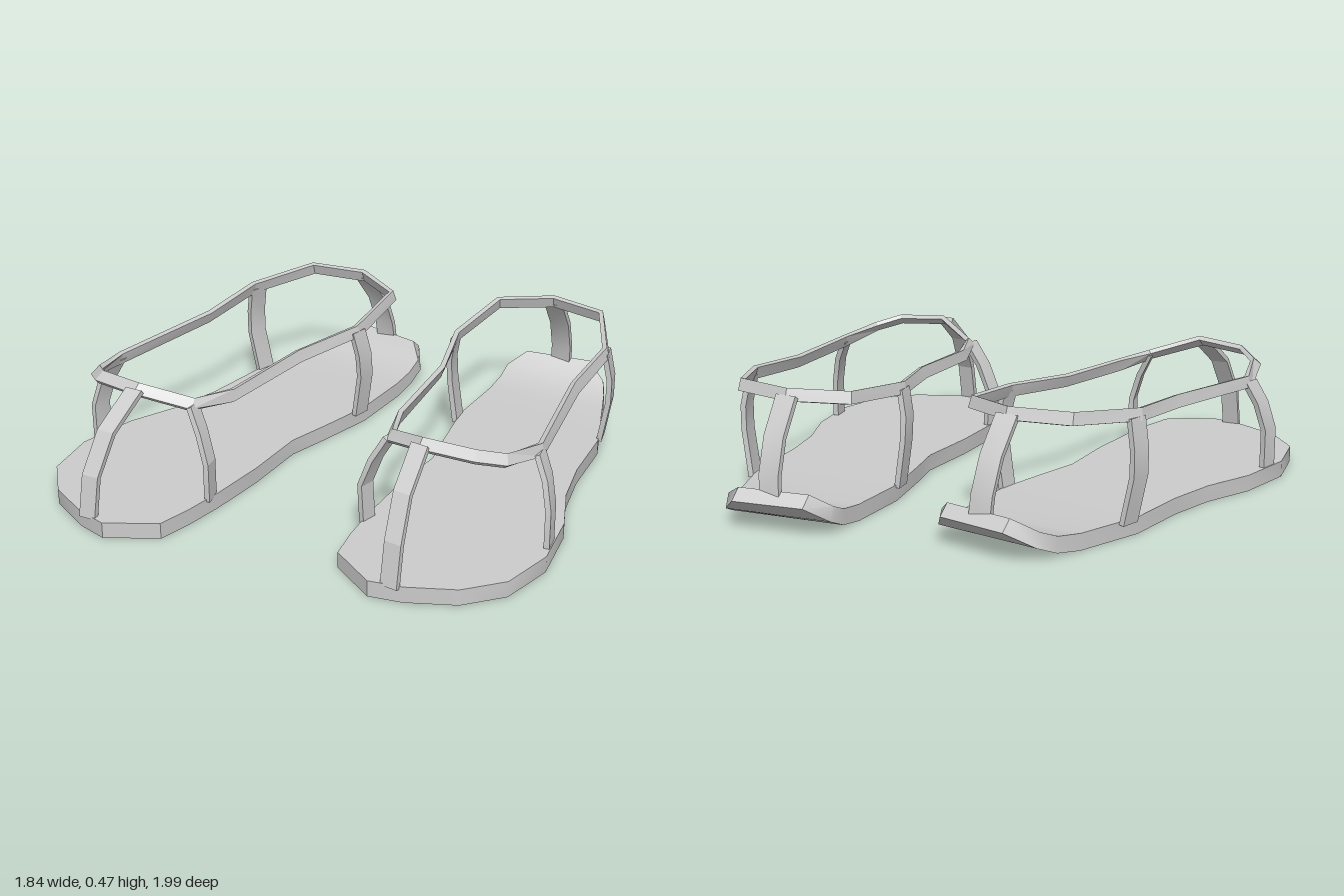
import * as THREE from 'three';
import { toCreasedNormals } from 'three/addons/utils/BufferGeometryUtils.js';

const V = (x, y, z) => new THREE.Vector3(x, y, z);

// Skin a row of four-cornered sections; side = -1 mirrors in x. Winding always ends up outward.
function loft(sections, closed, side, crease) {
  const tris = [], n = sections.length;
  const quad = (a, b, c, d) => tris.push([a, b, c], [a, c, d]);
  for (let i = 0; i < (closed ? n : n - 1); i++) {
    const s = sections[i], t = sections[(i + 1) % n];
    for (let k = 0; k < 4; k++) quad(s[k], s[(k + 1) % 4], t[(k + 1) % 4], t[k]);
  }
  if (!closed) {
    const s = sections[0], e = sections[n - 1];
    quad(s[3], s[2], s[1], s[0]);
    quad(e[0], e[1], e[2], e[3]);
  }
  let volume = 0;
  for (const [a, b, c] of tris) volume += a.dot(b.clone().cross(c));
  const flip = volume * side < 0, pos = [];
  for (const [a, b, c] of tris)
    for (const p of flip ? [a, c, b] : [a, b, c]) pos.push(p.x * side, p.y, p.z);
  const g = new THREE.BufferGeometry();
  g.setAttribute('position', new THREE.Float32BufferAttribute(pos, 3));
  return toCreasedNormals(g, crease);
}

// Flat strip along a path; axisAt gives the direction of its width.
function band(path, axisAt, width, thick, closed, side) {
  const n = path.length;
  const sections = path.map((p, i) => {
    const prev = path[closed ? (i + n - 1) % n : Math.max(i - 1, 0)];
    const next = path[closed ? (i + 1) % n : Math.min(i + 1, n - 1)];
    const axis = axisAt(p).normalize();
    const out = next.clone().sub(prev).cross(axis).normalize();
    return [[-1, -1], [1, -1], [1, 1], [-1, 1]].map(([a, b]) =>
      p.clone().addScaledVector(axis, a * width / 2).addScaledVector(out, b * thick / 2));
  });
  return loft(sections, closed, side, 0.3);
}

// Sole stations, toe to heel: inner x, z, outer x, z, lift of the turned-up heel
const SOLE = [
  [0.46, 0.99, 0.58, 0.97, 0], [0.29, 0.88, 0.75, 0.90, 0], [0.27, 0.75, 0.87, 0.78, 0],
  [0.26, 0.60, 0.92, 0.58, 0], [0.26, 0.38, 0.89, 0.35, 0], [0.28, 0.13, 0.82, 0.16, 0],
  [0.25, -0.03, 0.785, -0.03, 0], [0.215, -0.25, 0.77, -0.28, 0], [0.225, -0.50, 0.69, -0.53, 0],
  [0.228, -0.60, 0.66, -0.63, 0.015], [0.23, -0.68, 0.63, -0.71, 0.05], [0.29, -0.76, 0.55, -0.79, 0.11],
];

// Collar loop around the foot opening
const COLLAR = [
  [0.515, 0.445, 0.71], [0.35, 0.39, 0.61], [0.30, 0.375, 0.45], [0.28, 0.39, 0.08],
  [0.21, 0.405, -0.20], [0.25, 0.435, -0.50], [0.445, 0.445, -0.59], [0.66, 0.445, -0.54],
  [0.775, 0.42, -0.29], [0.77, 0.40, 0], [0.83, 0.38, 0.45], [0.78, 0.41, 0.625], [0.70, 0.435, 0.69],
].map(p => V(...p));

// Upright straps: name, width, width direction [x, z], path from sole to collar
const STRAPS = [
  ['toeStrap', 0.065, [1, 0.12], [[0.535, 0.05, 0.975], [0.535, 0.2, 0.945], [0.525, 0.34, 0.865], [0.515, 0.445, 0.72]]],
  ['innerFrontStrap', 0.06, [-0.25, 1], [[0.27, 0.05, 0.63], [0.265, 0.2, 0.635], [0.30, 0.3, 0.625], [0.35, 0.39, 0.61]]],
  ['outerFrontStrap', 0.07, [0.15, 1], [[0.895, 0.05, 0.50], [0.895, 0.2, 0.50], [0.87, 0.3, 0.48], [0.83, 0.38, 0.46]]],
  ['innerBackStrap', 0.07, [0.1, 1], [[0.215, 0.05, -0.22], [0.19, 0.22, -0.22], [0.19, 0.31, -0.21], [0.21, 0.405, -0.20]]],
  ['outerBackStrap', 0.075, [0.2, 1], [[0.76, 0.05, -0.33], [0.79, 0.22, -0.32], [0.79, 0.31, -0.32], [0.77, 0.415, -0.31]]],
  ['heelStrap', 0.08, [1, 0.06], [[0.43, 0.11, -0.735], [0.435, 0.2, -0.725], [0.44, 0.32, -0.68], [0.445, 0.44, -0.59]]],
];

function sandal(side, material) {
  const group = new THREE.Group();
  const add = (name, geometry) => {
    const mesh = new THREE.Mesh(geometry, material);
    mesh.name = name;
    group.add(mesh);
  };

  // the upper face of the sole leans forward where the heel turns up
  const sole = SOLE.map(([xi, zi, xo, zo, lift]) => {
    const lean = lift * 0.4, top = lift + 0.06 - lift * 0.2;
    return [V(xi, lift, zi), V(xo, lift, zo), V(xo, top, zo + lean), V(xi, top, zi + lean)];
  });
  add('sole', loft(sole, false, side, 0.6));

  // collar stands upright at the sides and lies flatter over the toes
  const centre = V(0.5, 0, 0.05);
  const collarAxis = p => {
    const inward = centre.clone().sub(p).setY(0).normalize();
    return inward.multiplyScalar(p.z > 0.55 ? 1.3 : 0.35).add(V(0, 1, 0));
  };
  add('collar', band(COLLAR, collarAxis, 0.045, 0.018, true, side));

  for (const [name, width, [ax, az], path] of STRAPS)
    add(name, band(path.map(p => V(...p)), () => V(ax, 0, az), width, 0.02, false, side));
  return group;
}

export function createModel() {
  const model = new THREE.Group();
  model.name = 'sandals';
  const material = new THREE.MeshStandardMaterial({ color: 0xcccccc });

  const right = sandal(-1, material);
  right.name = 'rightSandal';

  // left sandal is set back and turned outward
  const left = sandal(1, material);
  left.name = 'leftSandal';
  left.rotation.y = 0.1134;
  left.position.set(-0.064, 0, -0.152);

  model.add(right, left);
  return model;
}
